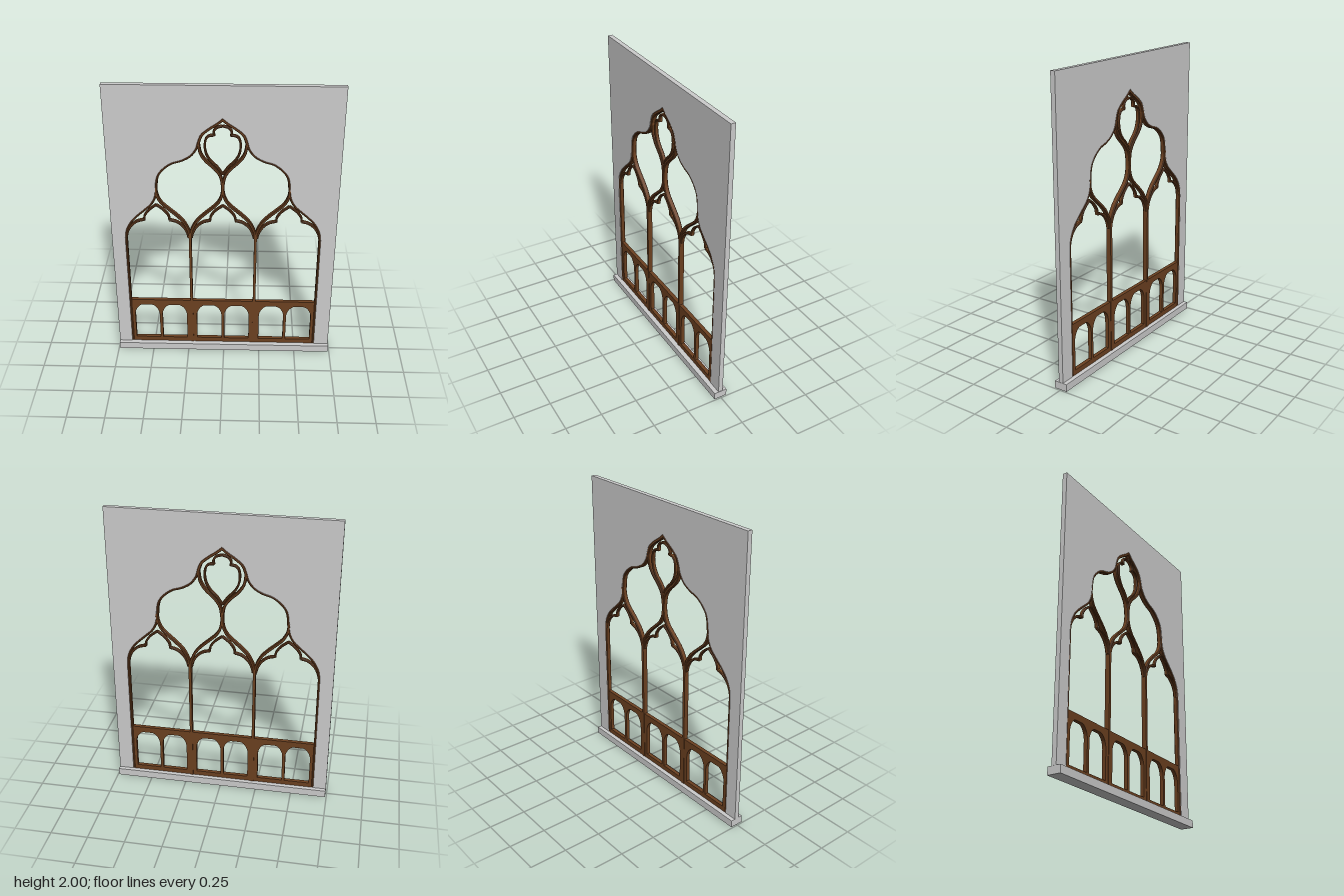
import * as THREE from 'three';
import { toCreasedNormals } from 'three/addons/utils/BufferGeometryUtils.js';

const stone = new THREE.MeshStandardMaterial({ color: 0xcccccc });
const wood = new THREE.MeshStandardMaterial({ color: 0x6b4020 });
const CX = -0.007;      // centre line of the window
const BASE = 0.05;      // top of the sill
const BAY = 0.433;      // spacing of the three lights
const DEPTH = 0.033;    // depth of the wooden bars

// Smooth curve through a few points
const spline = (pts, n = 24) =>
  new THREE.SplineCurve(pts.map(([x, y]) => new THREE.Vector2(x, y))).getPoints(n);
// Mirror a path in x and move it sideways
const place = (pts, side, x = 0) => pts.map(p => new THREE.Vector2(p.x * side + x, p.y));

// Extrude a shape, centred in z, with an optional chamfer
function slab(name, shape, depth, material, chamfer = 0) {
  const geometry = new THREE.ExtrudeGeometry(shape, {
    depth: depth - 2 * chamfer, curveSegments: 16, bevelEnabled: chamfer > 0,
    bevelThickness: chamfer, bevelSize: chamfer, bevelOffset: -chamfer, bevelSegments: 1,
  });
  geometry.translate(0, 0, chamfer - depth / 2);
  const mesh = new THREE.Mesh(toCreasedNormals(geometry, 0.5), material);
  mesh.name = name;
  return mesh;
}

// Bar that follows a path; a and b are the offsets of its two edges
function bar(name, path, a, b, depth = DEPTH) {
  const edge = offset => path.map((p, i) => {
    const prev = path[Math.max(i - 1, 0)], next = path[Math.min(i + 1, path.length - 1)];
    const t = next.clone().sub(prev).normalize();
    return new THREE.Vector2(p.x - t.y * offset, p.y + t.x * offset);
  });
  return slab(name, new THREE.Shape([...edge(a), ...edge(b).reverse()]), depth, wood, 0.004);
}

// Half of a pointed light, from springing to tip
const lightHalf = spline([[0.215, 0.917], [0.205, 0.98], [0.173, 1.044], [0.13, 1.092],
  [0.078, 1.139], [0.035, 1.182], [0.009, 1.235], [0, 1.3]], 32);
// Outline from the side light's tip to the apex
const upperHalf = spline([[0.433, 1.3], [0.429, 1.345], [0.415, 1.394], [0.378, 1.441], [0.325, 1.479],
  [0.262, 1.5], [0.209, 1.531], [0.172, 1.579], [0.156, 1.632], [0.135, 1.68],
  [0.087, 1.722], [0.04, 1.754], [0, 1.787]], 60);
// Lower half of the central leaf
const leafHalf = spline([[0.001, 1.27], [0.004, 1.33], [0.018, 1.39], [0.055, 1.441], [0.105, 1.489],
  [0.14, 1.545], [0.152, 1.62]], 28);
// Foil inside the leaf, and the two lobes of the cusping in each light
const foilLow = spline([[0, 1.395], [0.035, 1.447], [0.075, 1.488], [0.102, 1.535], [0.112, 1.59],
  [0.105, 1.64], [0.084, 1.663], [0.052, 1.668]], 36);
const foilTop = spline([[0.052, 1.664], [0.055, 1.695], [0.035, 1.72], [0, 1.73]], 14);
const cuspLow = spline([[0.207, 0.92], [0.195, 0.965], [0.17, 1.008], [0.13, 1.04], [0.083, 1.053]], 18);
const cuspTop = spline([[0.083, 1.05], [0.078, 1.085], [0.048, 1.128], [0, 1.166]], 14);

// Panel with two round-headed openings
function panelShape() {
  const w = 0.208, s = new THREE.Shape();
  s.moveTo(-w, BASE); s.lineTo(w, BASE); s.lineTo(w, 0.408); s.lineTo(-w, 0.408); s.closePath();
  for (const side of [-1, 1]) {
    const x0 = 0.01, x1 = 0.181, m = (x0 + x1) / 2, h = new THREE.Path();
    h.moveTo(side * x0, 0.083);
    h.lineTo(side * x0, 0.28);
    h.bezierCurveTo(side * x0, 0.325, side * (m - 0.055), 0.366, side * (m - 0.03), 0.366);
    h.lineTo(side * (m + 0.03), 0.366);
    h.bezierCurveTo(side * (m + 0.055), 0.366, side * x1, 0.325, side * x1, 0.28);
    h.lineTo(side * x1, 0.083);
    h.closePath();
    s.holes.push(h);
  }
  return s;
}

export function createModel() {
  const model = new THREE.Group();
  const tracery = new THREE.Group();
  tracery.name = 'tracery';
  tracery.position.set(CX, 0, -0.002);

  // Opening outline, from right foot over the apex to left foot
  const half = [new THREE.Vector2(0.648, BASE), ...place(lightHalf, 1, BAY), ...upperHalf.slice(1)];
  const outline = [...half, ...place(half, -1).reverse().slice(1)];

  // Wall around the opening
  const wallShape = new THREE.Shape([
    [0.74, BASE], [0.74, 2], [-0.743, 2], [-0.743, BASE],
  ].map(([x, y]) => new THREE.Vector2(x, y)).concat(place(outline, 1, CX).reverse()));
  const wall = slab('wall', wallShape, 0.032, stone);
  wall.position.z = -0.001;
  model.add(wall);

  // Sill
  const sill = new THREE.Mesh(new THREE.BoxGeometry(1.484, BASE, 0.09), stone);
  sill.name = 'sill';
  sill.position.y = BASE / 2;
  model.add(sill);

  // Outer frame lining the opening
  tracery.add(bar('outerFrame', outline, 0, 0.014));

  // Mullions, leaf and foil on both sides
  for (const side of [-1, 1]) {
    const mullion = new THREE.Mesh(new THREE.BoxGeometry(0.018, 0.9, DEPTH), wood);
    mullion.name = 'mullion';
    mullion.position.set(side * 0.2165, BASE + 0.45, 0);
    tracery.add(mullion);
    tracery.add(bar('lightArch', place(lightHalf, side), -0.009, 0.009));
    tracery.add(bar('lightArch', place(lightHalf, -side, side * BAY), -0.009, 0.009));
    tracery.add(bar('leaf', place(leafHalf, side), -0.009, 0.009));
    tracery.add(bar('leafUpper', place(upperHalf.slice(38), side), -0.001, side * 0.018));
    tracery.add(bar('foil', place(foilLow, side), -0.007, 0.007, 0.026));
    tracery.add(bar('foil', place(foilTop, side), -0.007, 0.007, 0.026));
  }

  // Cusping and panel in each light
  for (const i of [-1, 0, 1]) {
    for (const side of [-1, 1]) {
      tracery.add(bar('cusp', place(cuspLow, side, i * BAY), -0.008, 0.008, 0.026));
      tracery.add(bar('cusp', place(cuspTop, side, i * BAY), -0.007, 0.007, 0.026));
    }
    const panel = slab('panel', panelShape(), 0.026, wood);
    panel.position.x = i * BAY;
    tracery.add(panel);
  }

  model.add(tracery);
  return model;
}
